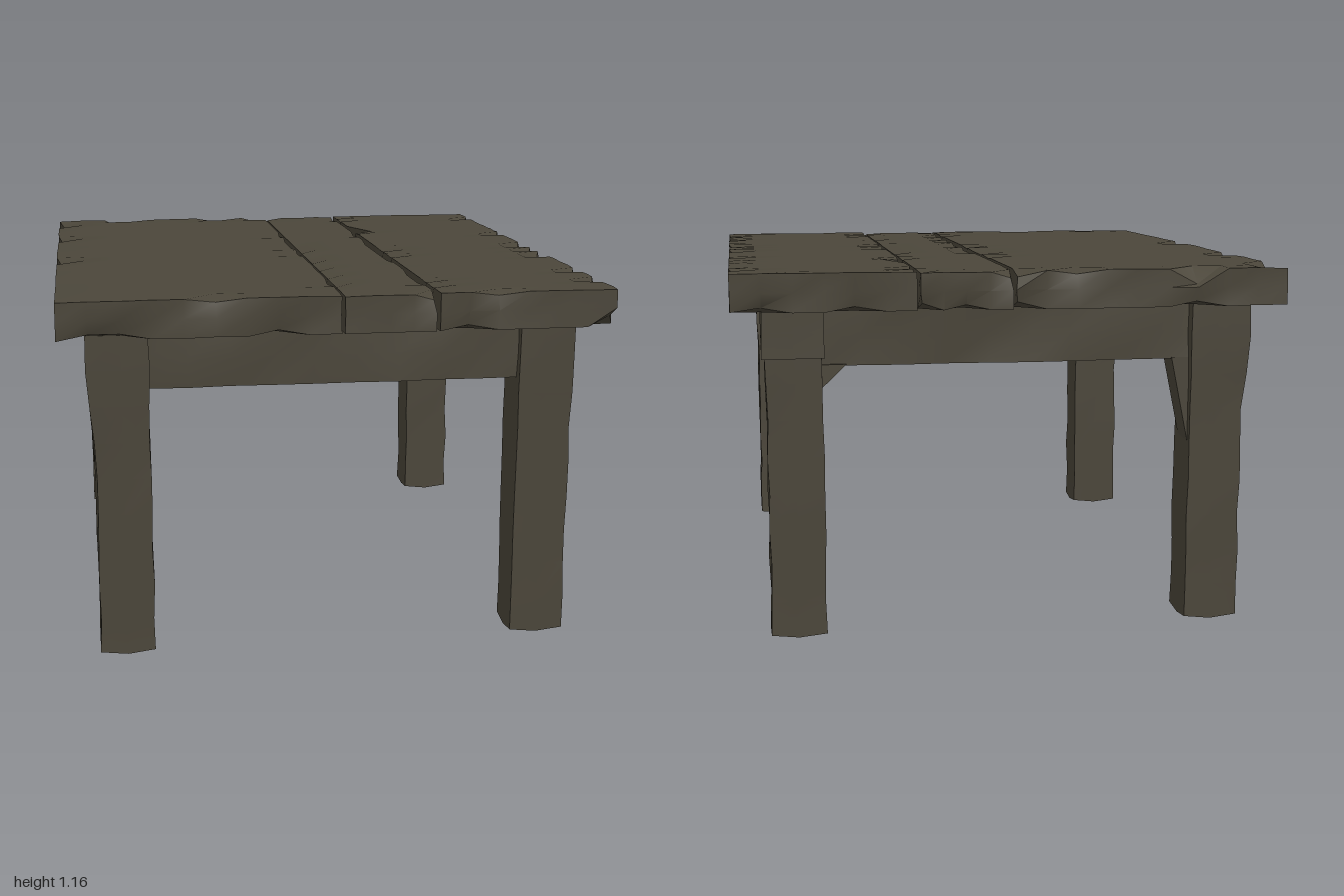
import * as THREE from 'three';
import { mergeVertices, toCreasedNormals } from 'three/addons/utils/BufferGeometryUtils.js';

const wood = new THREE.MeshStandardMaterial({ color: 0x4b463a });
wood.name = 'weatheredWood';

// Repeatable value in 0..1 for a point, so shared corners stay closed.
function grain(x, y, z) {
  const s = Math.sin(x * 127.1 + y * 311.7 + z * 74.7) * 43758.5453;
  return s - Math.floor(s);
}

// Box given by its limits, subdivided, with each vertex moved by a rule.
function carved(name, min, max, segments, rule, crease = 0.7) {
  const size = max.map((v, i) => v - min[i]);
  let geo = new THREE.BoxGeometry(...size, ...segments);
  geo.translate(...min.map((v, i) => (v + max[i]) / 2));
  geo.deleteAttribute('uv');
  geo.deleteAttribute('normal');
  geo = mergeVertices(geo, 1e-4);
  const pos = geo.attributes.position;
  const p = new THREE.Vector3();
  for (let i = 0; i < pos.count; i++) {
    p.fromBufferAttribute(pos, i);
    // -1, 0 or 1 on each axis: which outer side the vertex lies on
    const side = [0, 1, 2].map((a) => {
      const v = p.getComponent(a);
      return v < min[a] + 1e-4 ? -1 : v > max[a] - 1e-4 ? 1 : 0;
    });
    rule(p, side);
    pos.setXYZ(i, p.x, p.y, p.z);
  }
  const mesh = new THREE.Mesh(toCreasedNormals(geo, crease), wood);
  mesh.name = name;
  return mesh;
}

// Worn plank edges: small dents everywhere, a few deeper chips.
function wearPlank(p, [sx, sy, sz], outer) {
  const x = Math.round(p.x * 100), y = Math.round(p.y * 100), z = Math.round(p.z * 100);
  const g = grain(x, y, z);
  const chip = g > 0.8 ? 0.022 : 0.004 * g;
  if (sy && sz) {
    p.z -= sz * chip;
    p.y -= sy * chip * 0.7;
  }
  if (sy && sx) {
    const k = sx === outer ? 0.8 : 0.3;
    p.x -= sx * chip * k;
    p.y -= sy * chip * k;
  }
  if (!sy && sx) p.x -= sx * 0.004 * g;
  if (!sy && sz) p.z -= sz * 0.008 * g;
}

// Legs and rails: shallow hewn waves on the long faces.
function hewn(p, side, amount = 0.007) {
  const g = grain(Math.round(p.x * 50), Math.round(p.y * 50), Math.round(p.z * 50));
  p.x -= side[0] * amount * g;
  p.z -= side[2] * amount * g;
}

export function createModel() {
  const model = new THREE.Group();
  model.name = 'table';

  // Table top: three planks running front to back
  const top = new THREE.Group();
  top.name = 'tableTop';
  top.add(
    carved('widePlank', [-0.865, 1.04, -1], [-0.002, 1.16, 1], [9, 2, 24], (p, s) => {
      const nick = s[1] > 0 && s[2] < 0 && Math.abs(p.x + 0.577) < 0.03;
      wearPlank(p, s, -1);
      if (nick) {
        p.y -= 0.05;
        p.z += 0.02;
      }
    }),
    carved('narrowPlank', [0.006, 1.04, -1], [0.292, 1.157, 1], [4, 2, 24], (p, s) => wearPlank(p, s, 0)),
    carved('splitPlank', [0.302, 1.04, -1], [0.865, 1.16, 1], [6, 2, 40], (p, s) => {
      const z = p.z;
      wearPlank(p, s, 1);
      // wedge-shaped split in the inner edge
      if (s[0] < 0 && z > -0.63 && z < -0.43) {
        if (z < -0.52) p.x = 0.302 + (z + 0.65) * 0.38;
        else if (z < -0.48) {
          p.x = 0.367;
          p.z = -0.472;
        } else {
          p.x = 0.304;
          p.z = -0.464;
        }
      }
    })
  );
  model.add(top);

  // Four legs, flaring a little under the top
  const legs = new THREE.Group();
  legs.name = 'legs';
  for (const sx of [-1, 1]) {
    for (const sz of [-1, 1]) {
      const xs = [sx * 0.582, sx * 0.76].sort((a, b) => a - b);
      const zs = [sz * 0.738, sz * 0.905].sort((a, b) => a - b);
      const name = (sz > 0 ? 'front' : 'back') + (sx > 0 ? 'Left' : 'Right') + 'Leg';
      legs.add(carved(name, [xs[0], 0, zs[0]], [xs[1], 1.045, zs[1]], [2, 9, 2], (p, s) => {
        const flare = Math.max(0, Math.min(1, (p.y - 0.66) / 0.22));
        hewn(p, s, s[1] < 0 ? 0.003 : 0.007);
        if (s[0] === sx) p.x += sx * (sx < 0 ? 0.02 : 0.005) * flare;
        if (s[2] === sz) p.z += sz * 0.006 * flare;
        if (s[1] < 0 && s[0] && s[2]) p.y += 0.01;
      }));
    }
  }
  // squared block at the head of one back leg
  legs.add(carved('legHead', [0.578, 0.89, -0.915], [0.772, 1.045, -0.735], [2, 2, 2], (p, s) => hewn(p, s, 0.003)));
  model.add(legs);

  // Rails joining the legs
  const rails = new THREE.Group();
  rails.name = 'rails';
  for (const s of [-1, 1]) {
    const x = s * 0.67, z = s * 0.825;
    rails.add(
      carved(s > 0 ? 'frontRail' : 'backRail', [-0.6, 0.86, z - 0.055], [0.6, 1.045, z + 0.055], [9, 2, 1],
        (p, side) => hewn(p, side, 0.016)),
      carved(s > 0 ? 'leftRail' : 'rightRail', [x - 0.055, 0.875, -0.75], [x + 0.055, 1.045, 0.75], [1, 2, 10],
        (p, side) => hewn(p, side, 0.016))
    );
  }
  model.add(rails);

  // Small wedge braces in the back corners: inner leg face, reach, lower end
  const braces = new THREE.Group();
  braces.name = 'braces';
  for (const [x, reach, low] of [[-0.59, 0.06, 0.58], [0.588, -0.078, 0.79]]) {
    const shape = new THREE.Shape([
      new THREE.Vector2(x, low), new THREE.Vector2(x + reach, 0.865), new THREE.Vector2(x, 0.865),
    ]);
    const geo = new THREE.ExtrudeGeometry(shape, { depth: 0.1, bevelEnabled: false });
    const brace = new THREE.Mesh(geo, wood);
    brace.name = x < 0 ? 'rightBrace' : 'leftBrace';
    brace.position.z = -0.875;
    braces.add(brace);
  }
  model.add(braces);

  return model;
}
